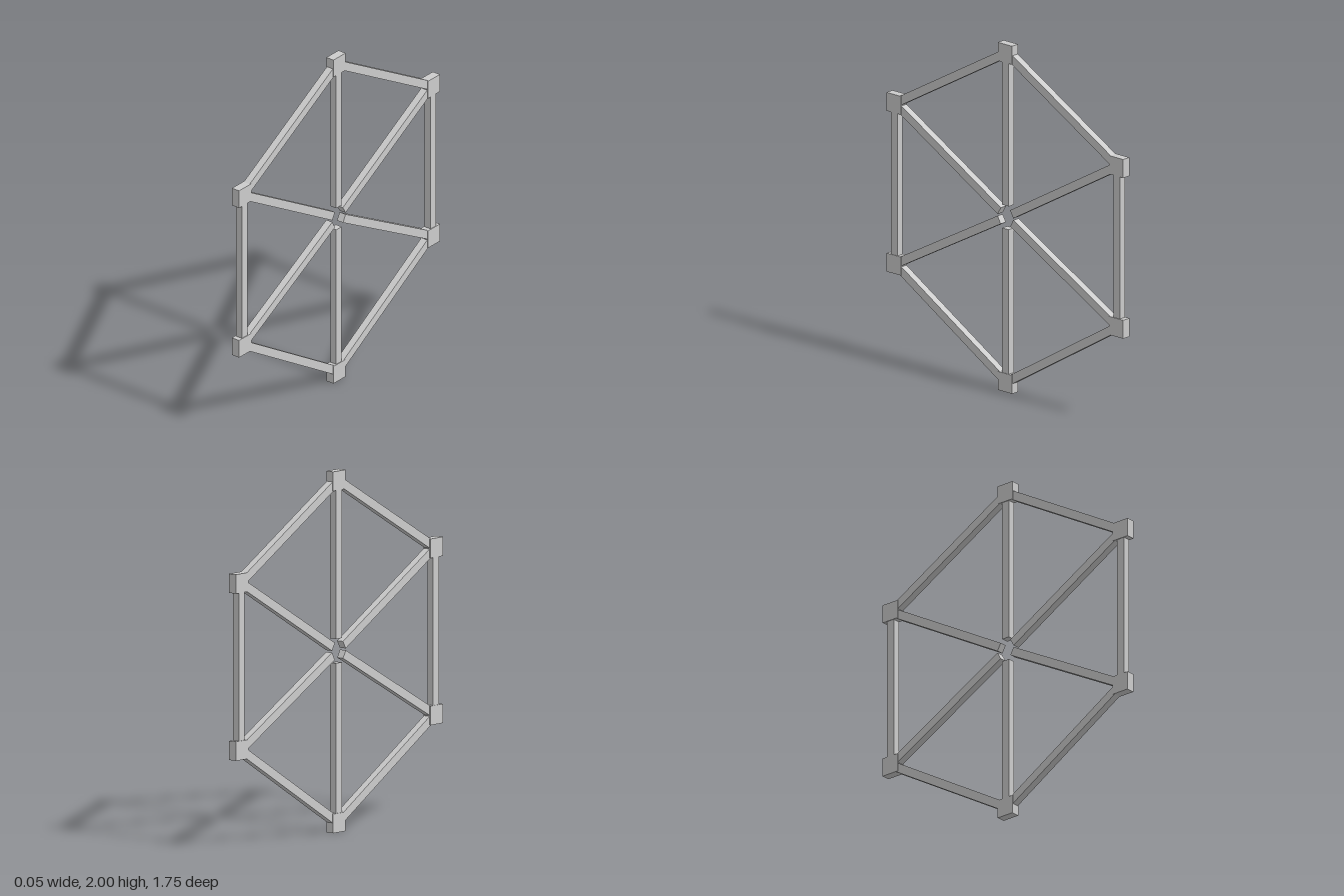
import * as THREE from 'three';

export function createModel() {
  const group = new THREE.Group();
  const material = new THREE.MeshStandardMaterial({ color: 0xcccccc, flatShading: true });
  const NODE = 0.106, NODE_DEPTH = 0.05, BAR = 0.048, BAR_DEPTH = 0.042, INSET = 0.03;

  // Corner positions as [z, y], going round the hexagon
  const corners = [
    [0, 1.947], [0.823, 1.477], [0.823, 0.552],
    [0, 0.053], [-0.823, 0.552], [-0.823, 1.477],
  ].map(([z, y]) => new THREE.Vector3(0, y, z));
  const hub = new THREE.Vector3(0, 1.004, 0);

  // Square bar from a to b, shortened at each end
  function addBar(name, a, b, trimA, trimB) {
    const dir = b.clone().sub(a).normalize();
    const start = a.clone().addScaledVector(dir, trimA);
    const end = b.clone().addScaledVector(dir, -trimB);
    const bar = new THREE.Mesh(
      new THREE.BoxGeometry(BAR_DEPTH, start.distanceTo(end), BAR), material);
    bar.position.copy(start).add(end).multiplyScalar(0.5);
    bar.rotation.x = Math.atan2(dir.z, dir.y);
    bar.name = name;
    group.add(bar);
  }

  corners.forEach((corner, i) => {
    // Corner block
    const block = new THREE.Mesh(new THREE.BoxGeometry(NODE_DEPTH, NODE, NODE), material);
    block.position.copy(corner);
    block.name = `cornerBlock${i + 1}`;
    group.add(block);

    // Rim bar to the next corner, and spoke stopping short of the open centre
    addBar(`rimBar${i + 1}`, corner, corners[(i + 1) % 6], INSET, INSET);
    addBar(`spoke${i + 1}`, corner, hub, INSET, i % 3 === 0 ? 0.067 : 0.053);
  });
  return group;
}
